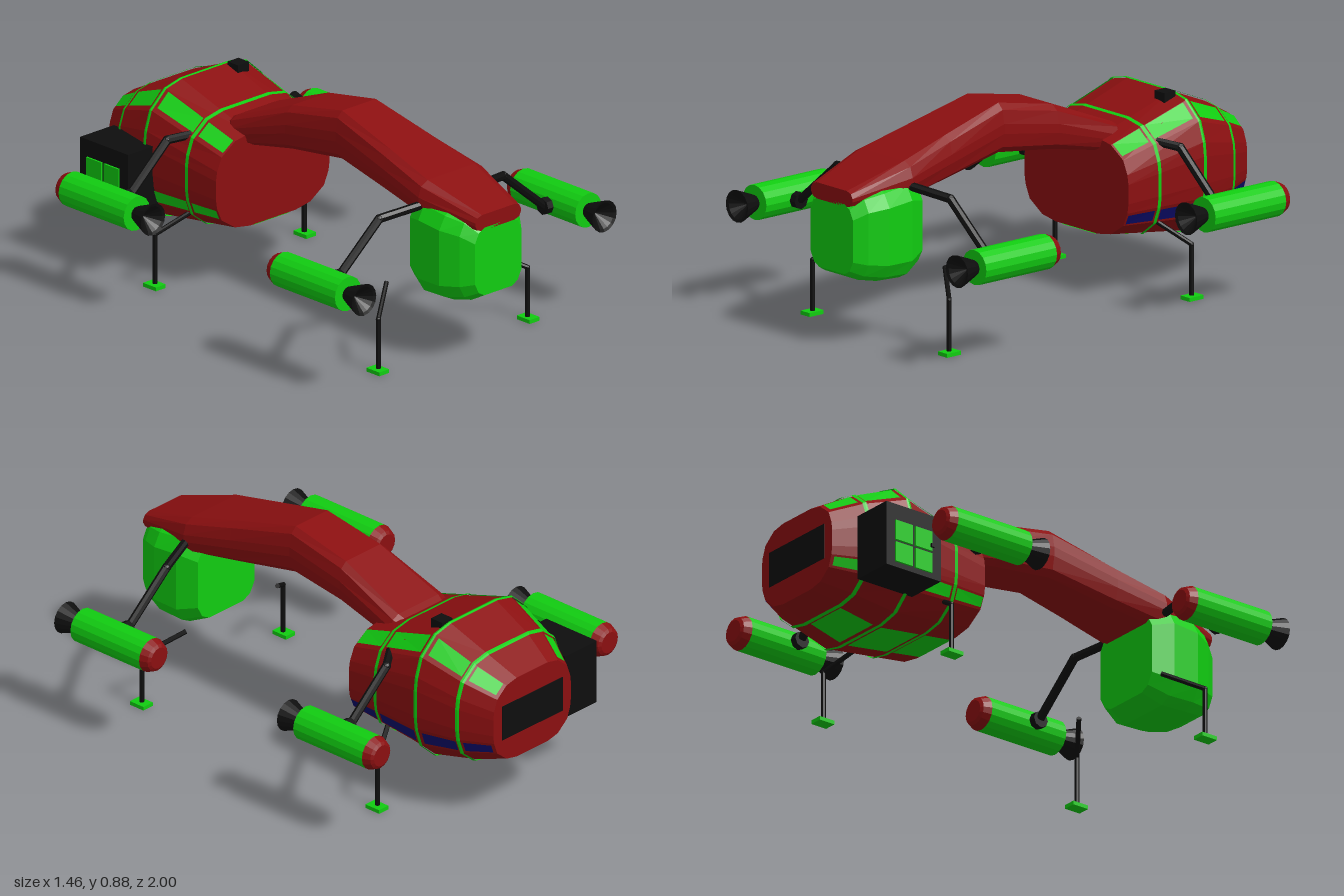
import * as THREE from 'three';

const mat = (color) => new THREE.MeshStandardMaterial({ color, flatShading: true, side: THREE.DoubleSide });

// Closed ring of [x, y] fractions from one quadrant, counter-clockwise
function fullRing(q) {
  const back = [...q].reverse();
  return [
    ...back,
    ...q.map(([x, y]) => [-x, y]),
    ...back.map(([x, y]) => [-x, -y]),
    ...q.map(([x, y]) => [x, -y]),
  ];
}

// Loft through sections [z, halfWidth, bottom, top], ordered front to back
function loft(quadrant, sections, caps = true) {
  const ring = fullRing(quadrant), n = ring.length, pos = [], idx = [];
  for (const [z, w, b, t] of sections)
    for (const [x, y] of ring) pos.push(x * w, (b + t) / 2 + y * (t - b) / 2, z);
  for (let i = 0; i < sections.length - 1; i++)
    for (let j = 0; j < n; j++) {
      const k = (j + 1) % n, a = i * n + j, b = i * n + k;
      idx.push(a, a + n, b + n, a, b + n, b);
    }
  if (caps) {
    const last = (sections.length - 1) * n;
    for (let j = 1; j < n - 1; j++) idx.push(0, j, j + 1, last, last + j + 1, last + j);
  }
  const g = new THREE.BufferGeometry();
  g.setAttribute('position', new THREE.Float32BufferAttribute(pos, 3));
  g.setIndex(idx);
  const flat = g.toNonIndexed();
  flat.computeVertexNormals();
  return flat;
}

const HULL_Q = [[0.4, 1], [0.66, 0.93], [0.9, 0.68], [0.98, 0.4], [1, 0.2]];
const HULL = [
  [-0.295, 0.312, 0.255, 0.65],
  [-0.68, 0.332, 0.2, 0.775],
  [-0.87, 0.292, 0.24, 0.697],
  [-1.0, 0.225, 0.275, 0.628],
];

// Hull section at any z, grown outward by off
function hullAt(z, off = 0) {
  let i = 0;
  while (i < HULL.length - 2 && z < HULL[i + 1][0]) i++;
  const A = HULL[i], B = HULL[i + 1], t = (z - A[0]) / (B[0] - A[0]);
  const [, w, b, top] = A.map((v, k) => v + (B[k] - v) * t);
  return [z, w + off, b - off, top + off];
}

// Thin panel on the hull between two profile points [x, y], from z0 to z1
function hullPatch(p, q, z0, z1) {
  const at = ([x, y], z) => {
    const [, w, b, t] = hullAt(z, 0.004);
    return [x * w, (b + t) / 2 + y * (t - b) / 2, z];
  };
  const g = new THREE.BufferGeometry();
  const [a, b, c, d] = [at(p, z0), at(q, z0), at(q, z1), at(p, z1)];
  g.setAttribute('position', new THREE.Float32BufferAttribute([a, d, c, a, c, b].flat(), 3));
  g.computeVertexNormals();
  return g;
}

export function createModel() {
  const model = new THREE.Group();
  const red = mat(0x8b0f10), green = mat(0x11cc11), black = mat(0x0e0e0e), navy = mat(0x0b0b6a);

  const add = (name, geo, material, x = 0, y = 0, z = 0, parent = model) => {
    const m = new THREE.Mesh(geo, material);
    m.name = name;
    m.position.set(x, y, z);
    parent.add(m);
    return m;
  };
  const box = (name, w, h, d, material, x, y, z) => add(name, new THREE.BoxGeometry(w, h, d), material, x, y, z);

  // Straight rods through a list of points, with a ball at each inner joint
  const rod = (name, pts, r, parent) => {
    const v = pts.map((p) => new THREE.Vector3(...p));
    for (let i = 0; i < v.length - 1; i++) {
      const dir = v[i + 1].clone().sub(v[i]), mid = v[i].clone().add(v[i + 1]).multiplyScalar(0.5);
      const m = add(name, new THREE.CylinderGeometry(r, r, dir.length(), 8), black, mid.x, mid.y, mid.z, parent);
      m.quaternion.setFromUnitVectors(new THREE.Vector3(0, 1, 0), dir.normalize());
      if (i) add(name + 'Joint', new THREE.IcosahedronGeometry(r * 1.05, 1), black, ...pts[i], parent);
    }
  };

  // Rear hull with hoops
  add('hull', loft(HULL_Q, HULL), red);
  for (const z of [-0.45, -0.68, -0.87])
    add('hullHoop', loft(HULL_Q, [z + 0.008, z, z - 0.008].map((s) => hullAt(s, 0.006)), false), green);

  // Stripes and belly panels between the hoops
  const spans = [[-0.3, -0.435], [-0.465, -0.66], [-0.7, -0.855], [-0.885, -0.99]];
  spans.forEach(([z0, z1], i) => {
    for (const s of [-1, 1]) {
      add('roofStripe', hullPatch([s * 0.67, 0.92], [s * 0.85, 0.732], z0, z1), green);
      add('sideStripe', hullPatch([s * 0.915, -0.628], [s * 0.968, -0.44], z0, z1), s > 0 ? navy : green);
    }
    if (i < 3) add('bellyPanel', hullPatch([-0.32, -1], [0.32, -1], z0, z1), green);
  });
  box('rearWindow', 0.35, 0.15, 0.008, black, 0, 0.455, -0.999);
  box('roofHatch', 0.06, 0.05, 0.06, black, 0.14, 0.76, -0.64);

  // Side airlock with a panelled door
  box('airlock', 0.185, 0.275, 0.275, black, -0.3725, 0.4125, -0.7775);
  for (const y of [0.34, 0.435])
    for (const z of [-0.83, -0.73]) box('doorPanel', 0.008, 0.085, 0.085, green, -0.469, y, z);
  box('doorHandle', 0.01, 0.015, 0.015, black, -0.502, 0.4, -0.71);

  // Arched boom joining hull and cabin
  add('boom', loft([[0.72, 1], [0.92, 0.75], [1, 0.2]], [
    [1.0, 0.125, 0.588, 0.655],
    [0.73, 0.18, 0.585, 0.74],
    [0.5, 0.155, 0.62, 0.8],
    [0.2, 0.128, 0.672, 0.876],
    [-0.08, 0.138, 0.637, 0.822],
    [-0.38, 0.16, 0.58, 0.7],
    [-0.42, 0.145, 0.56, 0.68],
  ]), red);

  // Front cabin
  add('cabin', loft([[0.6, 1], [0.84, 0.88], [1, 0.6]], [
    [1.0, 0.127, 0.31, 0.598],
    [0.95, 0.165, 0.283, 0.64],
    [0.87, 0.2, 0.268, 0.66],
    [0.75, 0.2, 0.262, 0.675],
    [0.665, 0.165, 0.3, 0.64],
  ]), green);

  // Thruster, pointing its nozzle forward
  const thruster = (s, z) => {
    const g = new THREE.Group();
    g.name = 'thruster';
    g.position.set(s * 0.66, 0.425, z);
    g.rotation.x = Math.PI / 2;
    const lathe = (name, pts, m) =>
      add(name, new THREE.LatheGeometry(pts.map((p) => new THREE.Vector2(...p)), 16), m, 0, 0, 0, g);
    lathe('thrusterBody', [[0, -0.187], [0.072, -0.187], [0.072, 0.187], [0, 0.187]], green);
    lathe('thrusterCap', [[0, -0.228], [0.045, -0.228], [0.058, -0.22], [0.072, -0.187]], red);
    lathe('thrusterNozzle', [[0.03, 0.187], [0.04, 0.21], [0.067, 0.28], [0.055, 0.275], [0, 0.22]], black);
    model.add(g);
  };

  // Thrusters, arms and landing legs, mirrored, front and rear
  const sets = [
    { eng: 0.64, arm: [[0.15, 0.645, 0.735], [0.34, 0.615, 0.672], [0.56, 0.43, 0.672]],
      leg: [[0.265, 0.313, 0.635], [0.41, 0.225, 0.74], [0.41, 0.01, 0.74]] },
    { eng: -0.573, arm: [[0.27, 0.63, -0.48], [0.35, 0.613, -0.535], [0.56, 0.43, -0.535]],
      leg: [[0.265, 0.31, -0.47], [0.41, 0.225, -0.543], [0.41, 0.01, -0.543]] },
  ];
  for (const { eng, arm, leg } of sets)
    for (const s of [-1, 1]) {
      const side = (pts) => pts.map(([x, y, z]) => [s * x, y, z]);
      thruster(s, eng);
      rod('thrusterArm', side(arm), 0.018);
      rod('landingLeg', side(leg), 0.01);
      const az = arm[2][2];
      add('thrusterMount', new THREE.CylinderGeometry(0.035, 0.035, 0.03, 8), black, s * 0.57, 0.425, az)
        .rotation.z = Math.PI / 2;
      rod('mountPin', side([[0.57, 0.425, az], [0.62, 0.425, az]]), 0.02);
      box('footPad', 0.054, 0.016, 0.074, green, s * 0.413, 0.008, leg[2][2]);
    }

  return model;
}
